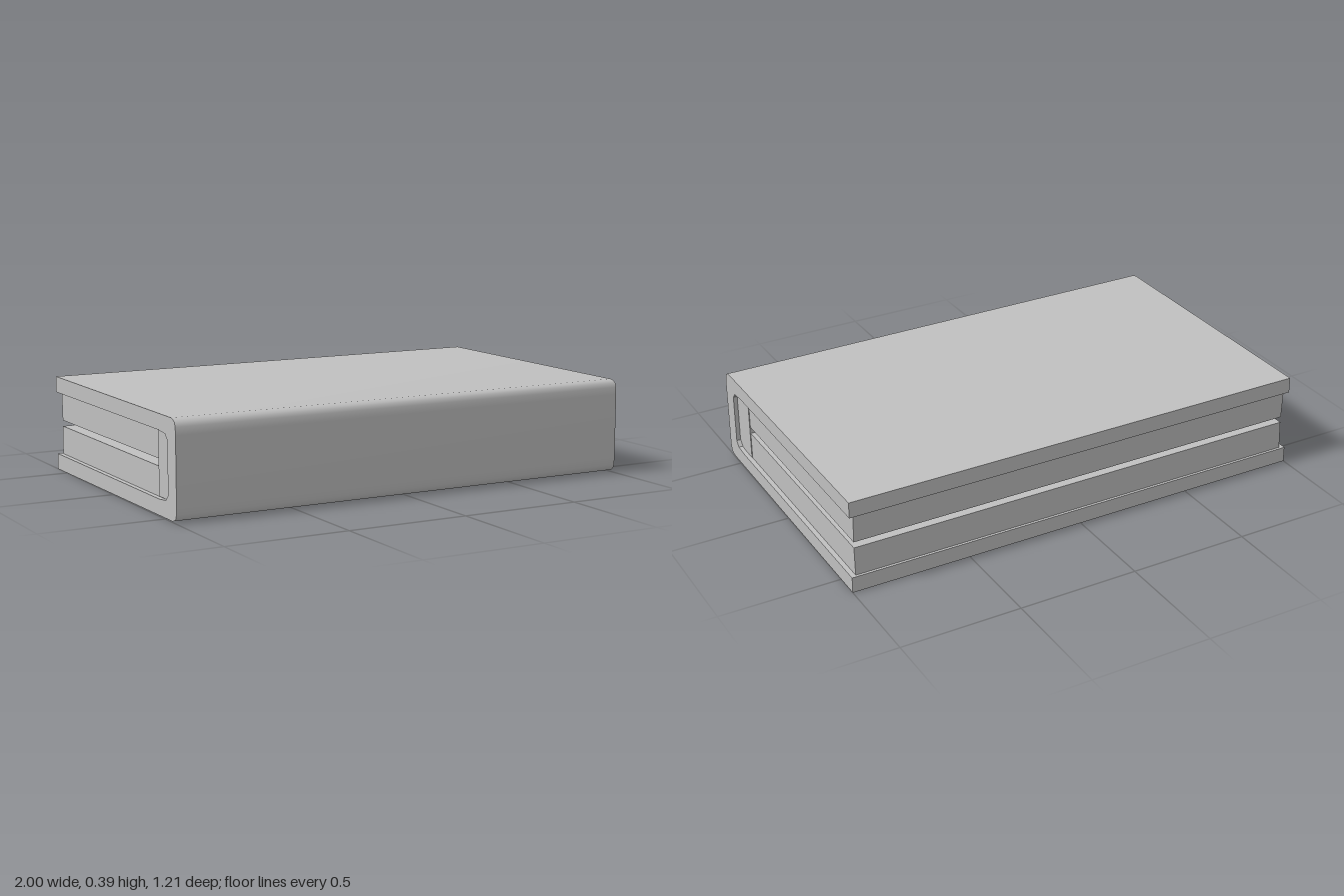
import * as THREE from 'three';
import { toCreasedNormals } from 'three/addons/utils/BufferGeometryUtils.js';

const grey = new THREE.MeshStandardMaterial({ color: 0xc0c0c0 });
grey.name = 'plain grey';

// Extrude a side profile of [z, y] points along x, to +-halfWidth
function sideProfile(name, points, halfWidth) {
  const shape = new THREE.Shape(points.map(([z, y]) => new THREE.Vector2(-z, y)));
  const geometry = new THREE.ExtrudeGeometry(shape, { depth: 2 * halfWidth, bevelEnabled: false });
  geometry.translate(0, 0, -halfWidth);
  geometry.rotateY(Math.PI / 2);
  const mesh = new THREE.Mesh(toCreasedNormals(geometry, 0.7), grey);
  mesh.name = name;
  return mesh;
}

// Add the mirrored lower half to an upper half running from back to front
const mid = 0.197;
const mirrored = (half) => [...half, ...half.map(([z, y]) => [z, 2 * mid - y]).reverse()];

export function createModel() {
  const model = new THREE.Group();
  model.name = 'foldedBook';

  // Wraparound cover: two boards and a rounded spine
  const outer = mirrored([
    [-0.603, 0.394], [0.565, 0.39], [0.583, 0.386], [0.596, 0.377], [0.602, 0.36], [0.604, 0.33],
  ]);
  const inner = mirrored([[-0.603, 0.328], [0.45, 0.328], [0.51, 0.322], [0.53, 0.3]]).reverse();
  model.add(sideProfile('cover', [...outer, ...inner], 1));

  // Two page blocks with slightly slanted fore edges
  const upper = [[-0.592, 0.328], [0.45, 0.328], [0.45, 0.211], [-0.587, 0.209]];
  model.add(sideProfile('upperPages', upper, 0.98));
  model.add(sideProfile('lowerPages', upper.map(([z, y]) => [z, 2 * mid - y - 0.001]), 0.98));

  // Fold joining the page blocks at the spine
  model.add(sideProfile('pageFold', mirrored([[0.41, 0.326], [0.505, 0.326], [0.532, 0.295]]), 0.983));

  return model;
}
